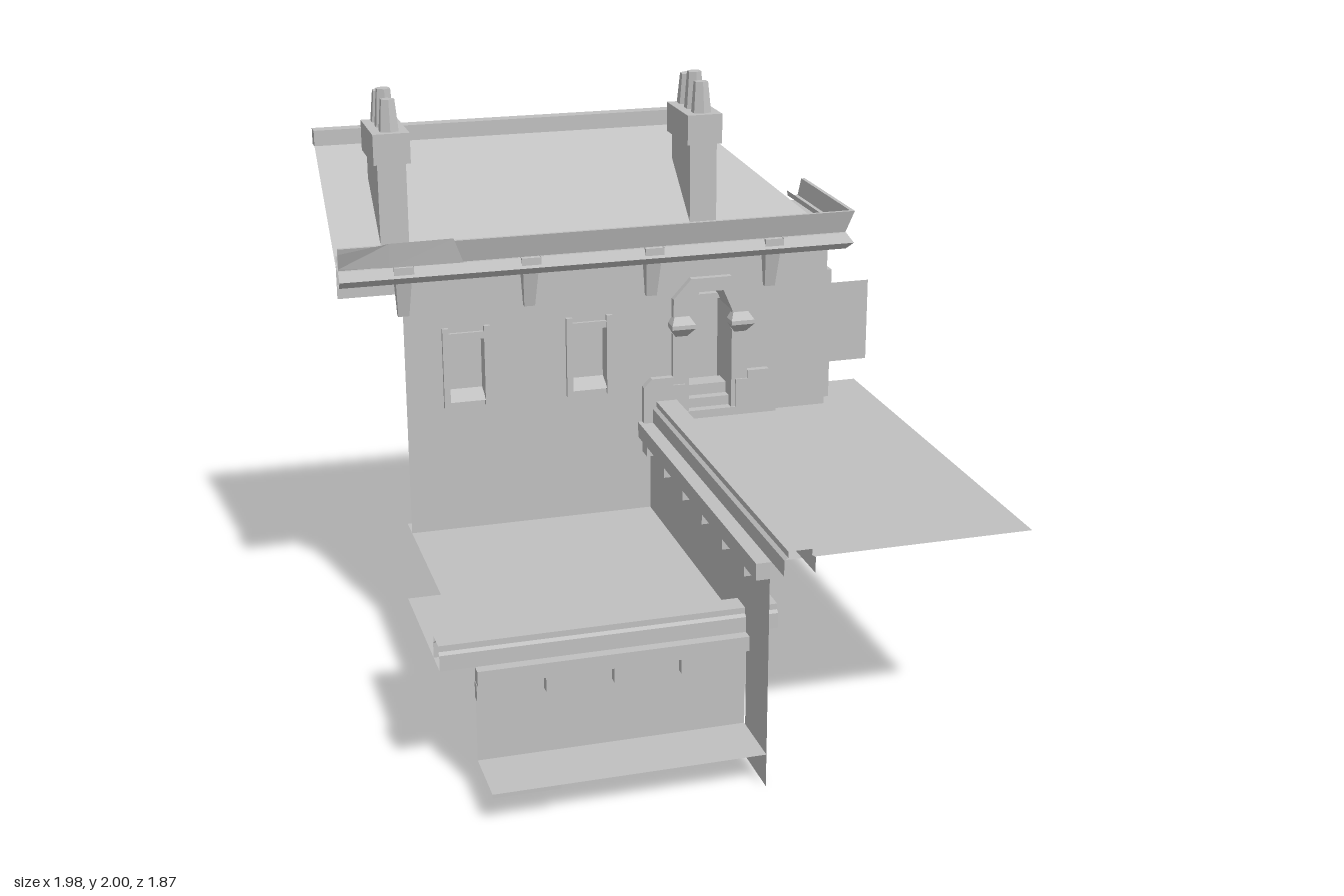
import * as THREE from 'three';

const stone = new THREE.MeshStandardMaterial({ color: 0xc0c0c0, side: THREE.DoubleSide, flatShading: true });
stone.name = 'grey stone';

const WALL_Z = -0.49, SIDE_X = 0.775, BACK_Z = -0.935, LOW = 0.44, HIGH = 0.775;
const roofY = z => 1.435 + (WALL_Z - z) * 0.8375;

export function createModel() {
  const root = new THREE.Group();
  root.name = 'terracedHouse';

  const add = (name, geometry) => {
    const m = new THREE.Mesh(geometry, stone);
    m.name = name;
    root.add(m);
    return m;
  };
  const box = (name, x0, x1, y0, y1, z0, z1) => {
    const g = new THREE.BoxGeometry(x1 - x0, y1 - y0, z1 - z0);
    g.translate((x0 + x1) / 2, (y0 + y1) / 2, (z0 + z1) / 2);
    return add(name, g);
  };
  // Surface through equal-length rows of points
  const loft = (name, rows) => {
    const pos = [];
    for (let i = 0; i + 1 < rows.length; i++) {
      for (let j = 0; j + 1 < rows[i].length; j++) {
        const [a, b, c, d] = [rows[i][j], rows[i + 1][j], rows[i + 1][j + 1], rows[i][j + 1]];
        pos.push(...a, ...b, ...c, ...a, ...c, ...d);
      }
    }
    const g = new THREE.BufferGeometry();
    g.setAttribute('position', new THREE.Float32BufferAttribute(pos, 3));
    g.computeVertexNormals();
    return add(name, g);
  };
  const quad = (name, a, b, c, d) => loft(name, [[a, d], [b, c]]);
  const path = (pts, P = THREE.Shape) => new P(pts.map(p => new THREE.Vector2(...p)));
  // Flat floor outline, given as x, z
  const floor = (name, y, pts) => {
    const g = new THREE.ShapeGeometry(path(pts.map(([x, z]) => [x, -z])));
    g.rotateX(-Math.PI / 2);
    g.translate(0, y, 0);
    return add(name, g);
  };

  // Terraces
  floor('upperTerrace', HIGH, [[0.065, WALL_Z], [0.065, 0.82], [0.985, 0.82], [0.985, -0.72], [SIDE_X, -0.72], [SIDE_X, WALL_Z]]);
  floor('lowerTerrace', LOW, [[-0.77, -0.58], [-0.77, 0.05], [-0.88, 0.05], [-0.88, 0.6], [0.11, 0.6], [0.11, -0.58]]);
  floor('groundStrip', 0.113, [[-0.77, 0.6], [-0.77, 0.82], [0.11, 0.82], [0.11, 0.6]]);
  quad('groundLip', [-0.77, 0.1, 0.82], [-0.555, 0.1, 0.82], [-0.555, 0.113, 0.82], [-0.77, 0.113, 0.82]);

  // Retaining walls
  quad('lowerFrontWall', [-0.77, 0.11, 0.6], [0.11, 0.11, 0.6], [0.11, LOW, 0.6], [-0.77, LOW, 0.6]);
  quad('upperSideWall', [0.11, LOW, WALL_Z], [0.11, LOW, 0.82], [0.11, HIGH, 0.82], [0.11, HIGH, WALL_Z]);
  quad('sideWallLeg', [0.11, 0, 0.61], [0.11, 0, 0.82], [0.11, LOW, 0.82], [0.11, LOW, 0.61]);

  // Ledges with dentils under each terrace edge
  box('lowerLedge', -0.77, 0.11, 0.39, LOW, 0.6, 0.64);
  box('upperLedge', 0.065, 0.11, 0.718, HIGH - 0.001, WALL_Z, 0.82);
  for (let i = 0; i < 4; i++) {
    const x = -0.745 + i * 0.22;
    box('lowerDentil', x - 0.027, x + 0.027, 0.335, 0.39, 0.6, 0.63);
  }
  for (let i = 0; i < 6; i++) {
    const z = 0.633 - i * 0.2185;
    box('upperDentil', 0.08, 0.11, 0.662, 0.718, z - 0.029, z + 0.029);
  }

  // Open-ended parapet rails
  const rail = [[0, 0], [0, 0.052], [0.012, 0.06], [0.012, 0.08], [0.088, 0.08], [0.088, 0.06], [0.1, 0.052], [0.1, 0]];
  loft('lowerRail', [-0.88, 0.218].map(x => rail.map(([u, v]) => [x, LOW + v, 0.604 - u])));
  loft('upperRail', [-0.465, 0.935].map(z => rail.map(([u, v]) => [0.114 + u, HIGH + v, z])));

  // Front wall with door notch and window openings
  const door = [[0.25, HIGH], [0.25, 1.17], [0.285, 1.25], [0.375, 1.25], [0.41, 1.17], [0.41, HIGH]];
  const wall = path([[-0.77, LOW], [0.11, LOW], [0.11, HIGH], ...door, [SIDE_X, HIGH], [SIDE_X, 1.44], [-0.77, 1.44]]);
  const windows = [-0.555, -0.115];
  const opening = c => [[c - 0.063, 0.92], [c + 0.063, 0.92], [c + 0.063, 1.155], [c - 0.063, 1.155]];
  windows.forEach(c => wall.holes.push(path(opening(c), THREE.Path)));
  add('frontWall', new THREE.ShapeGeometry(wall)).position.z = WALL_Z;
  quad('eavesPanel', [-0.99, 1.325, WALL_Z], [-0.77, 1.325, WALL_Z], [-0.77, 1.44, WALL_Z], [-0.99, 1.44, WALL_Z]);

  // Side wall, pilaster and screens
  quad('sideWall', [SIDE_X, HIGH, WALL_Z], [SIDE_X, HIGH, BACK_Z], [SIDE_X, 1.44, BACK_Z], [SIDE_X, 1.44, WALL_Z]);
  box('sidePilaster', SIDE_X, 0.82, HIGH, 1.265, -0.64, -0.56);
  quad('outerScreen', [0.82, 0.895, -0.605], [0.982, 0.895, -0.605], [0.982, 1.2, -0.605], [0.82, 1.2, -0.605]);
  quad('innerScreen', [0.565, HIGH, -0.7], [SIDE_X, HIGH, -0.7], [SIDE_X, 1.18, -0.7], [0.565, 1.18, -0.7]);

  // Recessed windows with framed surrounds
  for (const c of windows) {
    const o = opening(c);
    loft('windowReveal', [WALL_Z, -0.54].map(z => [...o, o[0]].map(([x, y]) => [x, y, z])));
    add('windowPane', new THREE.ShapeGeometry(path(o))).position.z = -0.54;
    for (const s of [-1, 1]) {
      const x = c + s * 0.073;
      box('windowJamb', x - 0.011, x + 0.011, 0.9, 1.19, WALL_Z, -0.475);
    }
    box('windowHead', c - 0.063, c + 0.063, 1.145, 1.17, WALL_Z, -0.478);
    quad('windowSill', [c - 0.063, 0.92, -0.475], [c + 0.063, 0.92, -0.475], [c + 0.063, 0.948, -0.54], [c - 0.063, 0.948, -0.54]);
  }

  // Door recess and steps
  loft('doorReveal', [WALL_Z, -0.64].map(z => door.map(([x, y]) => [x, y, z])));
  add('doorPanel', new THREE.ShapeGeometry(path(door))).position.z = -0.64;
  box('doorLintel', 0.25, 0.41, 1.18, 1.2, -0.64, -0.6);
  [0.805, 0.84, 0.88].forEach((y, i) => box('step', 0.235, 0.425, HIGH, y, -0.53 - i * 0.04, -0.465 - i * 0.035));

  // Door surround: arch, piers, imposts and plinths
  const arch = path([[0.19, 1.15], [0.19, 1.23], [0.255, 1.3], [0.405, 1.3], [0.47, 1.23], [0.47, 1.15],
    [0.41, 1.15], [0.41, 1.17], [0.375, 1.25], [0.285, 1.25], [0.25, 1.17], [0.25, 1.15]]);
  add('doorArch', new THREE.ExtrudeGeometry(arch, { depth: 0.025, bevelEnabled: false })).position.z = WALL_Z;
  const plinth = path([[-0.25, HIGH], [-0.25, 0.91], [-0.22, 0.94], [-0.14, 0.94], [-0.14, 0.91], [-0.095, 0.91], [-0.095, HIGH]]);
  for (const s of [-1, 1]) {
    const x = 0.33 + s * 0.11;
    box('doorPier', x - 0.03, x + 0.03, HIGH, 1.1, WALL_Z, -0.472);
    loft('impost', [[0.022, 1.09, 0.02], [0.043, 1.125, 0.055], [0.043, 1.14, 0.055], [0.028, 1.165, 0.027], [0, 1.165, 0]]
      .map(([w, y, d]) => [[x - w, y, WALL_Z], [x - w, y, WALL_Z + d], [x + w, y, WALL_Z + d], [x + w, y, WALL_Z]]));
    const p = add('stepPlinth', new THREE.ExtrudeGeometry(plinth, { depth: 0.025, bevelEnabled: false }));
    p.position.set(0.33, 0, WALL_Z);
    if (s > 0) {
      p.rotation.y = Math.PI;
      p.position.z += 0.025;
    }
  }

  // Mitred frieze and gutter around front and side
  const sweep = (name, profile) => loft(name, [
    profile.map(([d, y]) => [-0.99, y, WALL_Z + d]),
    profile.map(([d, y]) => [SIDE_X + d, y, WALL_Z + d]),
    profile.map(([d, y]) => [SIDE_X + d, y, BACK_Z])]);
  sweep('frieze', [[0, 1.375], [0.05, 1.375], [0.072, 1.4], [0.05, 1.433], [0, 1.433]]);
  sweep('gutter', [[0, 1.436], [0.048, 1.436], [0.072, 1.517], [0.058, 1.517], [0.045, 1.455], [0.005, 1.455], [0.002, 1.475]]);
  loft('bentGutterFlap', [
    [[-0.99, 1.443, -0.436], [-0.82, 1.437, -0.43], [-0.565, 1.436, -0.43]],
    [[-0.99, 1.5, -0.412], [-0.82, 1.525, -0.413], [-0.6, 1.527, -0.414]]]);

  // Tapered corbels under the eaves
  const corbel = (x, z, turn) => {
    const rows = [[0.034, 1.435, 0.066], [0.034, 1.4, 0.066], [0.028, 1.395, 0.052], [0.019, 1.25, 0.02], [0, 1.25, 0]];
    const m = loft('corbel', rows.map(([w, y, d]) => [[-w, y, 0], [-w, y, d], [w, y, d], [w, y, 0]]));
    m.position.set(x, 0, z);
    m.rotation.y = turn;
  };
  for (let i = 0; i < 4; i++) corbel(-0.77 + i * 0.44, WALL_Z, 0);
  corbel(SIDE_X, -0.71, Math.PI / 2);

  // Hipped roof and ridge
  const ridgeZ = -0.89, ridgeY = roofY(ridgeZ), hipX = 0.385;
  quad('frontRoof', [-0.99, roofY(WALL_Z), WALL_Z], [SIDE_X, roofY(WALL_Z), WALL_Z], [hipX, ridgeY, ridgeZ], [-0.99, ridgeY, ridgeZ]);
  quad('hipRoof', [SIDE_X, 1.435, WALL_Z], [SIDE_X, 1.435, BACK_Z], [hipX, ridgeY, BACK_Z], [hipX, ridgeY, ridgeZ]);
  box('ridge', -0.99, hipX, 1.765, 1.82, BACK_Z, -0.885);

  // Chimneys whose shafts follow the roof, each with three hexagonal pots
  for (const x of [-0.777, 0.323]) {
    loft('chimneyShaft', [0, 1].map(top => [[-1, -0.55], [1, -0.55], [1, -0.77], [-1, -0.77], [-1, -0.55]]
      .map(([s, z]) => [x + s * 0.049, top ? 1.77 : roofY(z), z])));
    box('chimneyCap', x - 0.063, x + 0.063, 1.765, 1.87, -0.787, -0.533);
    [-0.75, -0.664, -0.583].forEach((z, i) => {
      const h = i === 1 ? 0.13 : 0.108;
      const pot = add('chimneyPot', new THREE.CylinderGeometry(0.026, 0.036, h, 6));
      pot.position.set(x, 1.87 + h / 2, z);
      pot.rotation.x = (i - 1) * -0.05;
    });
  }
  return root;
}
